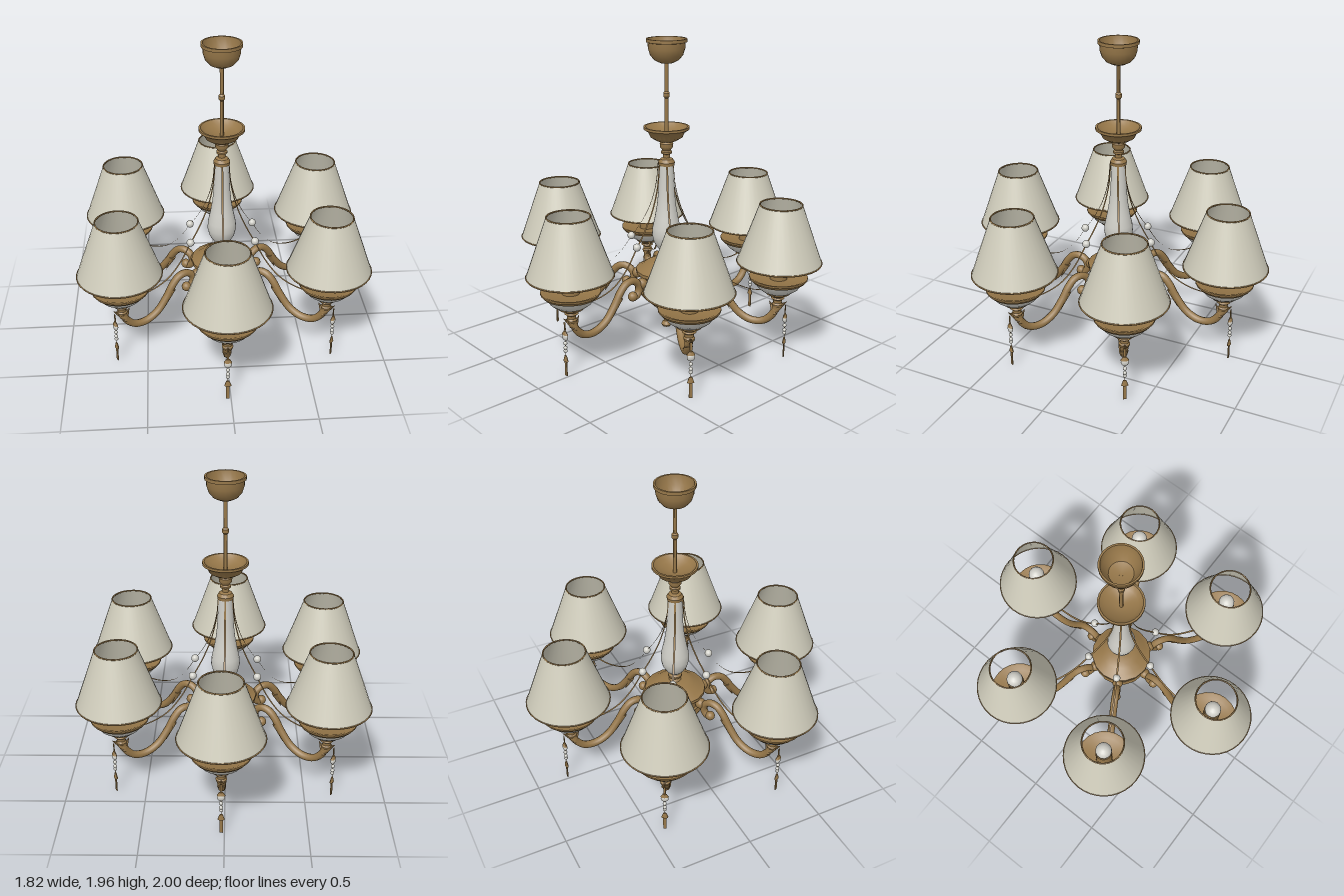
import * as THREE from 'three';
import { toCreasedNormals } from 'three/addons/utils/BufferGeometryUtils.js';

const material = (name, color) => {
  const m = new THREE.MeshStandardMaterial({ color, side: THREE.DoubleSide });
  m.name = name;
  return m;
};

export function createModel() {
  const bronze = material('bronze', 0x967749);
  const cream = material('creamFabric', 0xcfccbb);
  const ceramic = material('paleCeramic', 0xd0cfc8);

  const add = (parent, name, geometry, mat, x = 0, y = 0, z = 0) => {
    const mesh = new THREE.Mesh(geometry, mat);
    mesh.name = name;
    mesh.position.set(x, y, z);
    parent.add(mesh);
    return mesh;
  };
  // Turned part from [radius, height] pairs, listed upwards
  const turned = (profile, sides = 24) => toCreasedNormals(
    new THREE.LatheGeometry(profile.map(([r, y]) => new THREE.Vector2(r, y)), sides), 0.6);
  const ball = (r) => new THREE.SphereGeometry(r, 14, 10);
  // Curve in the radial plane from [distance, height] pairs
  const radial = (pairs) => new THREE.CatmullRomCurve3(
    pairs.map(([r, y]) => new THREE.Vector3(0, y, r)));

  const model = new THREE.Group();
  model.name = 'chandelier';

  // Central column
  const column = new THREE.Group();
  column.name = 'centralColumn';
  column.position.z = -0.012;
  model.add(column);
  add(column, 'hub', turned([
    [0, 0.085], [0.026, 0.09], [0.033, 0.103], [0.026, 0.118], [0.016, 0.125], [0.018, 0.15],
    [0.035, 0.158], [0.037, 0.172], [0.022, 0.18], [0.025, 0.2], [0.05, 0.215], [0.085, 0.24],
    [0.11, 0.265], [0.145, 0.295], [0.17, 0.325], [0.182, 0.35], [0.176, 0.37], [0.176, 0.39],
    [0.165, 0.4], [0.172, 0.46], [0.198, 0.475], [0.198, 0.495], [0.165, 0.51], [0.125, 0.54],
    [0.09, 0.555], [0.04, 0.56], [0.03, 0.575], [0.045, 0.588], [0.045, 0.6], [0.03, 0.612], [0, 0.612],
  ], 16), bronze);
  add(column, 'vase', turned([
    [0.03, 0.61], [0.055, 0.635], [0.08, 0.675], [0.092, 0.725], [0.088, 0.775], [0.074, 0.84],
    [0.06, 0.92], [0.052, 1.0], [0.047, 1.1], [0.044, 1.185],
  ]), ceramic);
  add(column, 'upperBowl', turned([
    [0, 1.18], [0.05, 1.18], [0.052, 1.2], [0.04, 1.22], [0.022, 1.228], [0.022, 1.25], [0.034, 1.256],
    [0.034, 1.268], [0.025, 1.275], [0.04, 1.295], [0.042, 1.32], [0.03, 1.332], [0.06, 1.336],
    [0.1, 1.36], [0.115, 1.392], [0.142, 1.41], [0.142, 1.425], [0.13, 1.425], [0.1, 1.395], [0, 1.37],
  ]), bronze);
  add(column, 'rod', turned([
    [0.012, 1.37], [0.012, 1.6], [0.02, 1.61], [0.02, 1.632], [0.012, 1.642], [0.012, 1.83],
  ], 12), bronze);
  add(column, 'ceilingCup', turned([
    [0, 1.812], [0.04, 1.815], [0.075, 1.832], [0.1, 1.862], [0.112, 1.9], [0.114, 1.937],
    [0.124, 1.94], [0.124, 1.96], [0.113, 1.96], [0.104, 1.9], [0.07, 1.845], [0, 1.825],
  ]), bronze);

  // Shared geometry for the six lamps
  const R = 0.737;
  const armCurve = radial([
    [0.275, 0.365], [0.243, 0.37], [0.222, 0.405], [0.232, 0.45], [0.275, 0.478], [0.325, 0.47],
    [0.37, 0.425], [0.42, 0.345], [0.49, 0.262], [0.575, 0.222], [0.655, 0.232], [0.71, 0.285], [R, 0.36],
  ]);
  const armGeometry = new THREE.TubeGeometry(armCurve, 48, 0.024, 8);
  const shade = turned([[0.26, 0.635], [0.128, 1.005]], 36);
  const dishRim = turned([
    [0.145, 0.503], [0.165, 0.512], [0.18, 0.53], [0.18, 0.54], [0.168, 0.54], [0.14, 0.525], [0, 0.525],
  ]);
  const dish = turned([[0.07, 0.435], [0.1, 0.45], [0.128, 0.472], [0.148, 0.505]]);
  const socket = turned([
    [0, 0.335], [0.03, 0.34], [0.034, 0.355], [0.026, 0.365], [0.028, 0.385], [0.042, 0.395],
    [0.036, 0.405], [0.05, 0.418], [0.075, 0.428], [0.078, 0.438], [0.06, 0.44],
  ]);
  const candle = new THREE.CylinderGeometry(0.053, 0.053, 0.22, 20);

  // Flat garland ribbon bent along a sagging curve
  const garlandCurve = radial([
    [0.05, 1.19], [0.065, 1.05], [0.105, 0.91], [0.165, 0.79], [0.235, 0.685],
    [0.32, 0.56], [0.42, 0.472], [0.55, 0.432], [0.65, 0.437], [0.71, 0.465],
  ]);
  const garland = new THREE.PlaneGeometry(0.012, 1, 1, 32);
  const gp = garland.attributes.position;
  for (let i = 0; i < gp.count; i++) {
    const p = garlandCurve.getPoint(gp.getY(i) + 0.5);
    gp.setXYZ(i, gp.getX(i), p.y, p.z);
  }
  garland.computeVertexNormals();

  for (let k = 0; k < 6; k++) {
    const lamp = new THREE.Group();
    lamp.name = `lamp${k + 1}`;
    lamp.position.z = -0.005;
    lamp.rotation.y = THREE.MathUtils.degToRad(k * 60 - 1.4);
    model.add(lamp);

    // Scrolled arm with leaves
    add(lamp, 'arm', armGeometry, bronze);
    add(lamp, 'scrollEnd', ball(0.031), bronze, 0, 0.372, 0.272);
    add(lamp, 'armMount', ball(0.035), bronze, 0, 0.44, 0.195);
    const leaf = (name, y, z, tilt, length) => {
      const mesh = add(lamp, name, new THREE.ConeGeometry(0.026, length, 8), bronze, 0, y, z);
      mesh.rotation.x = tilt;
    };
    leaf('archLeaf', 0.335, 0.405, 2.75, 0.13);
    leaf('socketLeaf', 0.345, 0.76, 0.85, 0.1);
    leaf('innerLeaf', 0.33, 0.705, -0.5, 0.09);

    // Candle holder, bulb and shade
    add(lamp, 'socket', socket, bronze, 0, 0, R);
    add(lamp, 'dish', dish, ceramic, 0, 0, R);
    add(lamp, 'dishRim', dishRim, bronze, 0, 0, R);
    add(lamp, 'candle', candle, bronze, 0, 0.635, R);
    add(lamp, 'bulb', ball(0.052), ceramic, 0, 0.775, R);
    add(lamp, 'shade', shade, cream, 0, 0, R);
    for (const [name, r, y] of [['shadeTopTrim', 0.128, 1.0], ['shadeBottomTrim', 0.258, 0.638]]) {
      add(lamp, name, new THREE.TorusGeometry(r, 0.005, 6, 36), bronze, 0, y, R).rotation.x = Math.PI / 2;
    }

    // Garland with its bead
    add(lamp, 'garland', garland, bronze);
    add(lamp, 'garlandBead', ball(0.025), ceramic, 0, 0.69, 0.235);

    // Hanging pendant, thin in the radial direction
    const pendant = new THREE.Group();
    pendant.name = 'pendant';
    pendant.position.z = 0.788;
    lamp.add(pendant);
    add(pendant, 'hook', new THREE.BoxGeometry(0.014, 0.05, 0.004), bronze, 0, 0.325, 0);
    add(pendant, 'wire', new THREE.BoxGeometry(0.003, 0.2, 0.003), bronze, 0, 0.21, 0);
    add(pendant, 'beadCap', new THREE.CylinderGeometry(0.012, 0.026, 0.022, 10), bronze, 0, 0.283, 0).scale.z = 0.5;
    add(pendant, 'largeBead', ball(0.024), ceramic, 0, 0.258, 0).scale.z = 0.6;
    for (const y of [0.215, 0.185, 0.165]) add(pendant, 'smallBead', ball(0.012), ceramic, 0, y, 0);
    add(pendant, 'dropCap', new THREE.CylinderGeometry(0.01, 0.022, 0.035, 10), bronze, 0, 0.115, 0).scale.z = 0.5;
    add(pendant, 'dropBar', new THREE.BoxGeometry(0.02, 0.1, 0.006), bronze, 0, 0.05, 0);
  }
  return model;
}
